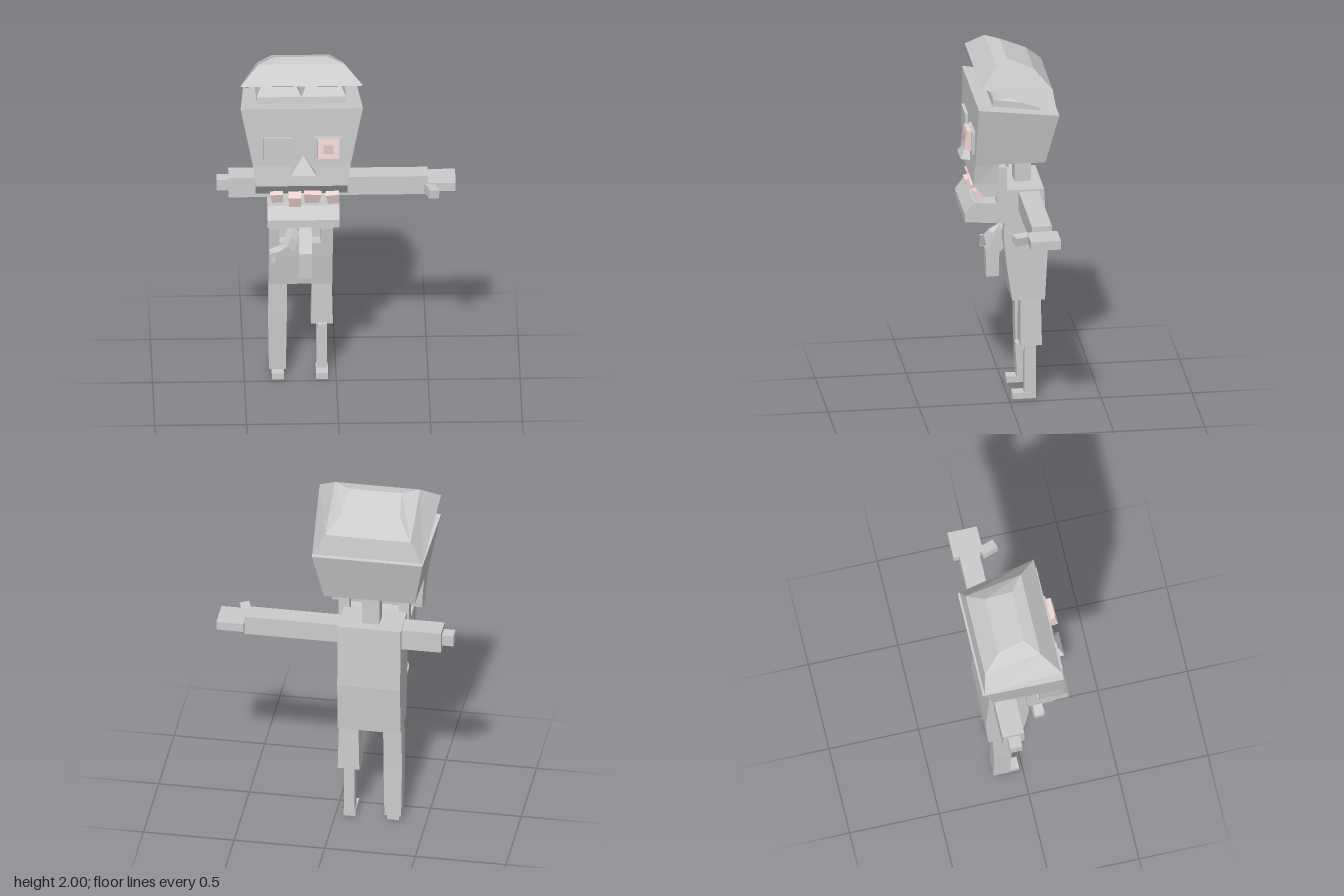
import * as THREE from 'three';

export function createModel() {
  const model = new THREE.Group();
  const CX = -0.193; // centre line of head and body
  const make = (color) => new THREE.MeshStandardMaterial({ color, flatShading: true });
  const grey = make(0xcccccc), pink = make(0xf0d4d4), pupilTone = make(0xd8bcbc);

  function add(name, geometry, material = grey) {
    const mesh = new THREE.Mesh(geometry, material);
    mesh.name = name;
    model.add(mesh);
    return mesh;
  }

  // Box given by its limits on each axis
  function box(name, [x0, x1], [y0, y1], [z0, z1], material) {
    const mesh = add(name, new THREE.BoxGeometry(x1 - x0, y1 - y0, z1 - z0), material);
    mesh.position.set((x0 + x1) / 2, (y0 + y1) / 2, (z0 + z1) / 2);
    return mesh;
  }

  // Skin between rings of points, counter-clockwise from above, closed at both ends
  function loft(rings) {
    const pos = [], n = rings[0].length;
    const tri = (a, b, c) => pos.push(...a, ...b, ...c);
    for (let r = 0; r + 1 < rings.length; r++) {
      for (let i = 0; i < n; i++) {
        const j = (i + 1) % n, lo = rings[r], hi = rings[r + 1];
        tri(lo[i], lo[j], hi[j]);
        tri(lo[i], hi[j], hi[i]);
      }
    }
    const first = rings[0], last = rings[rings.length - 1];
    for (let i = 1; i + 1 < n; i++) {
      tri(first[0], first[i + 1], first[i]);
      tri(last[0], last[i], last[i + 1]);
    }
    const g = new THREE.BufferGeometry();
    g.setAttribute('position', new THREE.Float32BufferAttribute(pos, 3));
    g.computeVertexNormals();
    return g;
  }

  // Four-cornered ring: half width, height and depth of its front and back edges
  const ring = (wf, yf, zf, wb, yb, zb, cx = CX) =>
    [[cx - wf, yf, zf], [cx + wf, yf, zf], [cx + wb, yb, zb], [cx - wb, yb, zb]];

  // Side outline of [z, y] points, extruded from x0 to x1
  function slab(name, x0, x1, outline) {
    const shape = new THREE.Shape(outline.map(([z, y]) => new THREE.Vector2(z, y)));
    const g = new THREE.ExtrudeGeometry(shape, { depth: x1 - x0, bevelEnabled: false });
    g.rotateY(-Math.PI / 2).translate(x1, 0, 0);
    return add(name, g);
  }

  // Skull: wide cranium and the upper jaw below its front
  add('cranium', loft([
    ring(0.265, 1.43, 0.2, 0.25, 1.42, -0.185),
    ring(0.333, 1.775, 0.19, 0.305, 1.71, -0.256),
  ]));
  add('upperJaw', loft([
    ring(0.25, 1.235, 0.15, 0.25, 1.235, 0.08),
    ring(0.25, 1.31, 0.21, 0.25, 1.31, 0.075),
    ring(0.265, 1.43, 0.2, 0.26, 1.43, 0.07),
  ]));

  // Lifted skull cap, hollow underneath
  add('skullCap', loft([
    ring(0.24, 1.955, 0.08, 0.23, 1.82, -0.19),
    ring(0.3, 1.885, 0.14, 0.28, 1.74, -0.215),
    ring(0.335, 1.905, 0.175, 0.305, 1.72, -0.245),
    ring(0.235, 1.99, 0.08, 0.235, 1.84, -0.228),
    ring(0.145, 2.0, 0.01, 0.16, 1.935, -0.135),
  ]));

  // Two halves of the brain with a groove between them
  for (const s of [-1, 1]) {
    const cx = CX + s * 0.122;
    add('brainHalf', loft([
      ring(0.122, 1.7, 0.11, 0.122, 1.7, -0.16, cx),
      ring(0.122, 1.8, 0.1, 0.122, 1.76, -0.15, cx),
      ring(0.095, 1.85, 0.06, 0.09, 1.8, -0.12, cx),
    ]));
  }

  // Eye plates, with a bulging eye on the left one
  box('rightEyePlate', [-0.4, -0.245], [1.475, 1.605], [0.15, 0.212]);
  box('leftEyePlate', [-0.13, 0.03], [1.475, 1.605], [0.15, 0.212]);
  const eye = box('eyeball', [-0.107, 0.012], [1.495, 1.603], [0.195, 0.247], pink);
  const pupil = box('pupil', [-0.075, -0.022], [1.525, 1.575], [0.222, 0.249], pupilTone);
  eye.rotation.x = pupil.rotation.x = -0.15;

  // Wedge nose
  add('nose', loft([
    ring(0.07, 1.395, 0.255, 0.07, 1.385, 0.19, -0.185),
    ring(0.002, 1.49, 0.2, 0.002, 1.49, 0.19, -0.185),
  ]));

  // Uneven teeth: x, half width, bottom, top, depth, tilt
  for (const [x, w, y0, y1, z, tilt] of [
    [-0.327, 0.036, 1.2, 1.26, 0.165, 0.08],
    [-0.23, 0.036, 1.14, 1.25, 0.18, 0],
    [-0.135, 0.048, 1.195, 1.26, 0.165, -0.05],
    [-0.022, 0.037, 1.19, 1.255, 0.165, 0.12],
  ]) {
    const h = (y1 - y0) / 2;
    const tooth = add('tooth', loft([
      ring(w * 0.8, -h, 0.025, w * 0.8, -h, -0.02, 0),
      ring(w, h, 0.03, w, h, -0.03, 0),
    ]), pink);
    tooth.position.set(x, (y0 + y1) / 2, z);
    tooth.rotation.set(0.25, 0, tilt);
  }

  // Lower jaw with a rising arm at each side
  slab('lowerJaw', -0.38, 0.012,
    [[0.02, 1.055], [0.25, 1.075], [0.25, 1.12], [0.2, 1.185], [0.07, 1.175], [0.02, 1.175]]);
  for (const s of [-1, 1]) {
    const x = -0.184 + s * 0.165;
    slab('jawArm', x - 0.03, x + 0.03, [[0.015, 1.1], [0.075, 1.1], [0.068, 1.385], [0.02, 1.385]]);
  }

  box('neck', [-0.24, -0.145], [1.2, 1.45], [-0.135, -0.045]);

  // Torso with an opened belly
  const back = [[-0.19, 1.235], [-0.21, 0.87], [-0.195, 0.585], [-0.015, 0.59]];
  const solid = [...back, [0.012, 0.77], [0.032, 0.95], [0.02, 1.235]];
  const opened = [...back, [0.012, 0.77], [0.022, 0.86], [-0.05, 0.86], [-0.05, 1.07],
    [0.027, 1.07], [0.02, 1.235]];
  slab('torsoRightSide', -0.367, -0.31, solid);
  slab('torsoMiddle', -0.31, -0.085, opened);
  slab('torsoLeftSide', -0.085, -0.02, solid);

  // Guts hanging out of the belly
  slab('longGut', -0.205, -0.135,
    [[-0.04, 0.96], [-0.04, 0.9], [0.04, 0.83], [0.042, 0.69], [0.112, 0.69], [0.115, 0.84], [0.03, 0.965]]);
  const bend = [[-0.235, 0.93, -0.04], [-0.24, 0.92, 0.03], [-0.265, 0.86, 0.08], [-0.355, 0.82, 0.09]];
  const path = new THREE.CatmullRomCurve3(bend.map((p) => new THREE.Vector3(...p)));
  add('curledGut', new THREE.TubeGeometry(path, 5, 0.038, 4));
  box('curledGutTip', [-0.358, -0.335], [0.79, 0.85], [0.062, 0.118]);

  // Left arm and hand
  box('leftArm', [-0.05, 0.5], [1.115, 1.225], [-0.16, -0.05]);
  box('leftHand', [0.5, 0.65], [1.145, 1.195], [-0.19, 0.02 - 0.045]);
  const thumb = box('leftThumb', [0.492, 0.546], [1.14, 1.188], [-0.037, 0.053]);
  thumb.rotation.set(0, 0.32, -0.12);

  // Right arm stump with bare bone
  box('rightArmStump', [-0.585, -0.34], [1.11, 1.23], [-0.165, -0.045]);
  box('rightArmBone', [-0.65, -0.57], [1.14, 1.205], [-0.138, -0.07]);

  // Right leg, slightly bent at the knee
  add('rightLeg', loft([
    ring(0.046, 0.035, -0.075, 0.046, 0.035, -0.165, -0.319),
    ring(0.051, 0.35, -0.065, 0.051, 0.35, -0.165, -0.319),
    ring(0.05, 0.62, -0.062, 0.05, 0.62, -0.172, -0.317),
  ]));

  // Left leg, bare bone below the knee
  add('leftThigh', loft([
    ring(0.06, 0.32, -0.06, 0.06, 0.32, -0.178, -0.077),
    ring(0.053, 0.62, -0.062, 0.053, 0.62, -0.172, -0.077),
  ]));
  box('leftShinBone', [-0.106, -0.048], [0.03, 0.34], [-0.15, -0.085]);
  box('leftKneeBone', [-0.102, -0.052], [0.28, 0.325], [-0.1, -0.038]);

  for (const x of [-0.318, -0.077]) {
    box('foot', [x - 0.033, x + 0.033], [0, 0.036], [-0.148, -0.02]);
  }
  return model;
}
